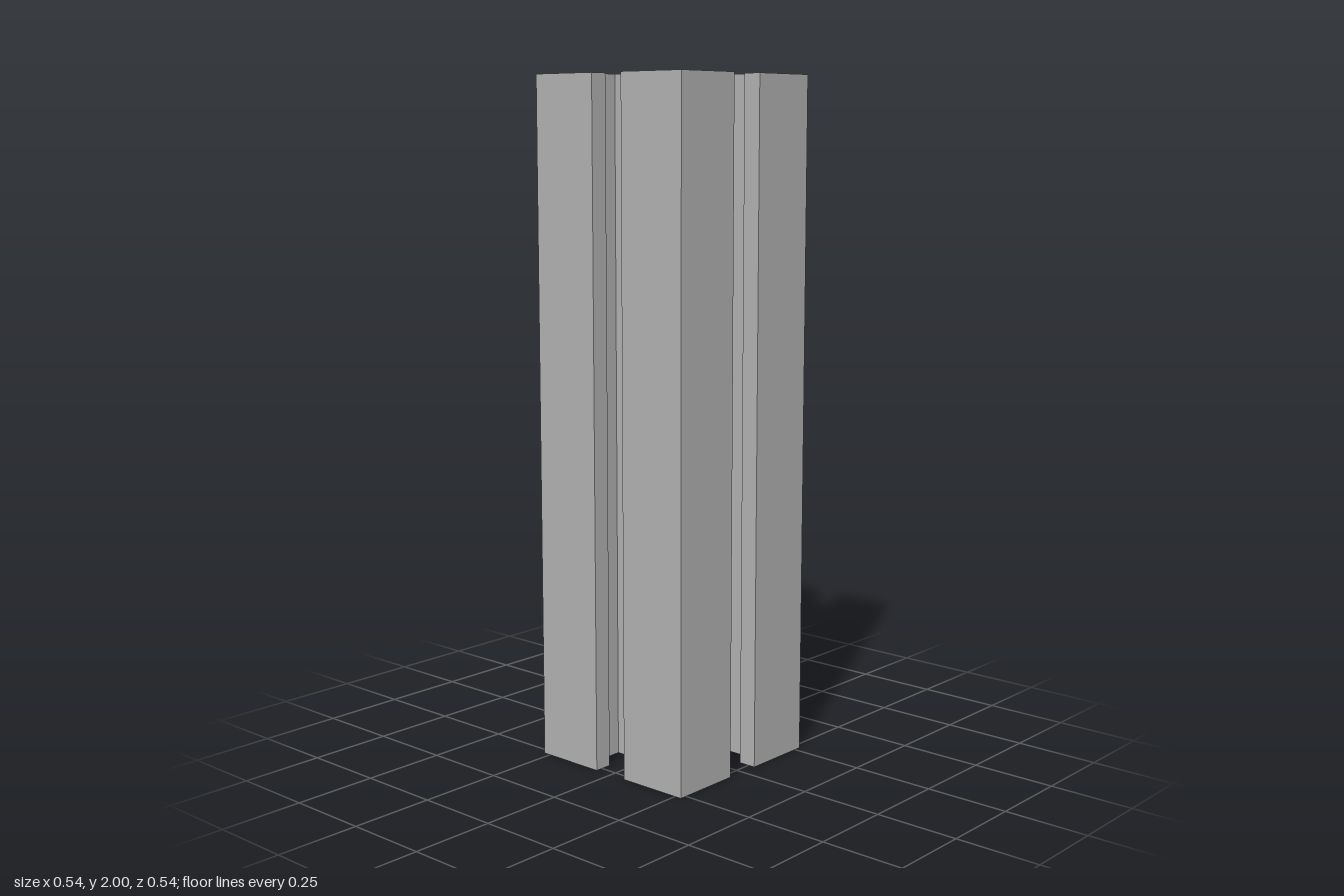
import * as THREE from 'three';
import { toCreasedNormals } from 'three/addons/utils/BufferGeometryUtils.js';

const HEIGHT = 2;
const OUTER = 0.272;      // half width of the bar
const LIP = 0.218;        // inner face of the slot lips
const CORE = 0.1225;      // floor of the slots
const MOUTH = 0.0545;     // half width of the slot opening
const POCKET = 0.109;     // half width of the slot behind the lips
const BORE = 0.058;       // radius of the centre bore

export function createModel() {
  const group = new THREE.Group();
  group.name = 'slottedBar';

  const aluminium = new THREE.MeshStandardMaterial({ color: 0xb2b2b2 });
  aluminium.name = 'aluminium grey';

  // One side with its T-slot, repeated at quarter turns
  const side = [
    [OUTER, -OUTER], [OUTER, -MOUTH], [LIP, -MOUTH], [LIP, -POCKET], [CORE, -POCKET],
    [CORE, POCKET], [LIP, POCKET], [LIP, MOUTH], [OUTER, MOUTH],
  ];
  const outline = [];
  for (let turn = 0; turn < 4; turn++) {
    for (const [x, y] of side) {
      let p = [x, y];
      for (let i = 0; i < turn; i++) p = [-p[1], p[0]];
      outline.push(new THREE.Vector2(p[0], p[1]));
    }
  }
  const profile = new THREE.Shape(outline);

  // Round bore through the core
  profile.holes.push(new THREE.Path().absarc(0, 0, BORE, 0, Math.PI * 2, true));

  // Extrude upward from the ground
  const geometry = new THREE.ExtrudeGeometry(profile, {
    depth: HEIGHT, bevelEnabled: false, curveSegments: 48,
  });
  geometry.rotateX(-Math.PI / 2);

  const bar = new THREE.Mesh(toCreasedNormals(geometry, 0.5), aluminium);
  bar.name = 'extrudedProfile';
  group.add(bar);
  return group;
}
